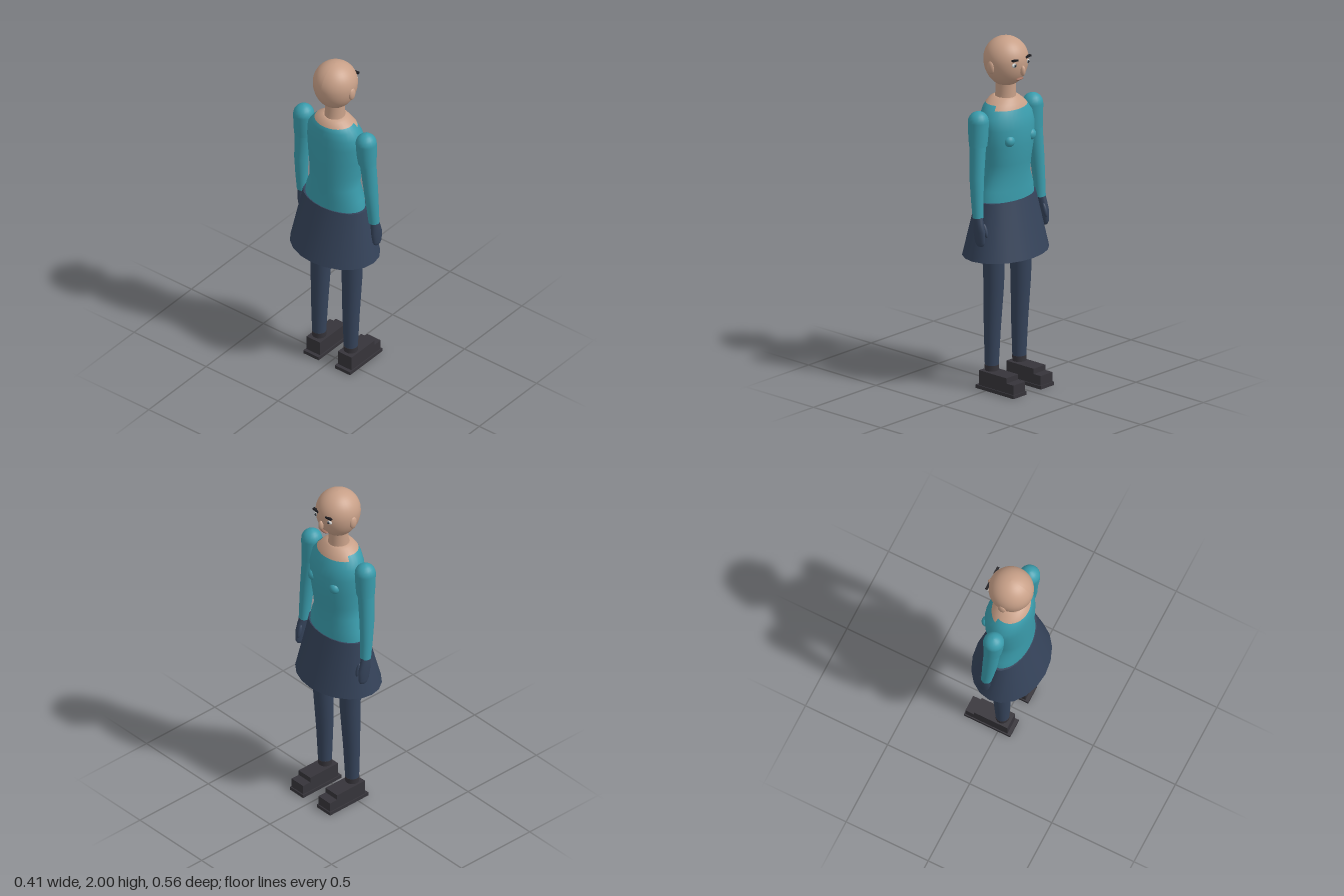
import * as THREE from 'three';

const mat = (name, color) => {
  const m = new THREE.MeshStandardMaterial({ color });
  m.name = name;
  return m;
};

// Closed loft through horizontal ellipses [y, centreX, centreZ, radiusX, radiusZ], listed bottom to top.
// pick(y, x) chooses a material index for each face.
function loft(sections, seg = 24, pick = () => 0) {
  const first = sections[0], last = sections[sections.length - 1];
  const rings = [[first[0], first[1], first[2], 0, 0], first, ...sections, last, [last[0], last[1], last[2], 0, 0]];
  const pos = [], buckets = [[], []];
  for (const [y, cx, cz, rx, rz] of rings) {
    for (let j = 0; j < seg; j++) {
      const a = (j / seg) * Math.PI * 2;
      pos.push(cx + rx * Math.cos(a), y, cz + rz * Math.sin(a));
    }
  }
  for (let i = 0; i < rings.length - 1; i++) {
    if (i === 1 || i === rings.length - 3) continue; // doubled rings keep the cap edges sharp
    for (let j = 0; j < seg; j++) {
      const k = (j + 1) % seg, a = i * seg + j, b = i * seg + k, c = a + seg, d = b + seg;
      const x = (pos[a * 3] + pos[d * 3]) / 2, y = (pos[a * 3 + 1] + pos[d * 3 + 1]) / 2;
      buckets[pick(y, x)].push(a, c, b, b, c, d);
    }
  }
  const g = new THREE.BufferGeometry();
  g.setAttribute('position', new THREE.Float32BufferAttribute(pos, 3));
  g.setIndex([...buckets[0], ...buckets[1]]);
  g.addGroup(0, buckets[0].length, 0);
  g.addGroup(buckets[0].length, buckets[1].length, 1);
  g.computeVertexNormals();
  return g;
}

export function createModel() {
  const skin = mat('skin', 0xc8a088);
  const teal = mat('teal top', 0x3a9cac);
  const navy = mat('navy cloth', 0x35435a);
  const shoe = mat('shoe charcoal', 0x36343a);
  const dark = mat('brow black', 0x1d1c20);
  const white = mat('eye white', 0xd8d8d6);
  const iris = mat('iris grey', 0x3c4a55);
  const lips = mat('lips', 0xa0705f);

  const model = new THREE.Group();
  model.name = 'standingWoman';
  const add = (name, geo, material, x = 0, y = 0, z = 0, parent = model) => {
    const m = new THREE.Mesh(geo, material);
    m.name = name;
    m.position.set(x, y, z);
    parent.add(m);
    return m;
  };
  const box = (name, material, x0, x1, y0, y1, z, depth, parent) =>
    add(name, new THREE.BoxGeometry(x1 - x0, y1 - y0, depth), material, (x0 + x1) / 2, (y0 + y1) / 2, z, parent);
  const ball = (name, material, x, y, z, rx, ry, rz, parent) => {
    const g = new THREE.SphereGeometry(1, 20, 14).scale(rx, ry, rz);
    return add(name, g, material, x, y, z, parent);
  };

  // Head: egg shape, longer below its widest line; the face looks along +x
  const headGeo = new THREE.SphereGeometry(1, 32, 24);
  const p = headGeo.attributes.position;
  for (let i = 0; i < p.count; i++) {
    const y = p.getY(i);
    p.setXYZ(i, p.getX(i) * 0.125, y * (y > 0 ? 0.125 : 0.155), p.getZ(i) * 0.122);
  }
  headGeo.computeVertexNormals();
  add('head', headGeo, skin, 0, 1.875, 0);
  ball('nose', skin, 0.125, 1.828, 0, 0.016, 0.03, 0.014);
  ball('mouth', lips, 0.102, 1.778, 0, 0.012, 0.007, 0.028);

  // Neck, and a bodice with a bare neckline that dips at the front
  add('neck', loft([[1.64, -0.006, 0, 0.062, 0.06], [1.68, -0.003, 0, 0.056, 0.055], [1.76, 0, 0, 0.055, 0.054]]), skin);
  const bodice = [
    [1.085, 0, 0.113, 0.19], [1.15, 0, 0.113, 0.18], [1.22, -0.002, 0.113, 0.152], [1.3, 0.002, 0.119, 0.155],
    [1.4, 0.007, 0.127, 0.167], [1.5, 0.007, 0.127, 0.175], [1.56, 0, 0.117, 0.168], [1.605, -0.007, 0.106, 0.138],
    [1.63, -0.01, 0.094, 0.115], [1.655, -0.01, 0.075, 0.082], [1.662, -0.008, 0.06, 0.06],
  ].map(([y, x, rx, rz]) => [y, x, 0, rx, rz]);
  const isBare = (y, x) => (y > 1.631 || (y > 1.606 && x > 0.03) ? 1 : 0);
  add('bodice', loft(bodice, 32, isBare), [teal, skin]);

  // Skirt: flared cone with 20 sides and a closed hem
  const skirt = [[0.77, -0.003, 0, 0.205, 0.27], [1.09, 0, 0, 0.118, 0.205]];
  add('skirt', loft(skirt, 20), navy);

  for (const s of [1, -1]) {
    const side = new THREE.Group();
    side.name = s > 0 ? 'rightSide' : 'leftSide';
    model.add(side);
    const tube = (name, material, sections) =>
      add(name, loft(sections.map(([y, x, z, rx, rz]) => [y, x, z * s, rx, rz]), 20), material, 0, 0, 0, side);

    // Face details
    ball('ear', skin, -0.003, 1.847, s * 0.118, 0.024, 0.037, 0.014, side);
    ball('eye', white, 0.109, 1.868, s * 0.05, 0.01, 0.013, 0.018, side);
    ball('iris', iris, 0.115, 1.868, s * 0.051, 0.007, 0.009, 0.009, side);
    ball('pupil', dark, 0.12, 1.868, s * 0.051, 0.004, 0.005, 0.005, side);
    box('eyebrow', dark, 0.108, 0.122, 1.892, 1.902, s * 0.051, 0.042, side).rotation.x = -s * 0.08;

    // Bust
    ball('bust', teal, 0.105, 1.44, s * 0.085, 0.028, 0.032, 0.032, side);

    // Sleeve: rounded shoulder over a tapering arm
    const shoulder = [[1.425, 0, 0.222, 0.049, 0.052], [1.48, -0.002, 0.219, 0.054, 0.056]];
    for (let i = 0; i <= 6; i++) {
      const a = (i / 6) * 1.5;
      shoulder.push([1.56 + 0.06 * Math.sin(a), -0.003, 0.217, 0.058 * Math.cos(a), 0.058 * Math.cos(a)]);
    }
    tube('shoulder', teal, shoulder);
    tube('sleeve', teal, [
      [1.025, 0.024, 0.249, 0.03, 0.03], [1.12, 0.016, 0.247, 0.035, 0.033],
      [1.25, 0.007, 0.241, 0.042, 0.038], [1.45, 0, 0.224, 0.046, 0.047],
    ]);

    // Mitten hand with a forward thumb
    tube('hand', navy, [
      [0.865, 0.045, 0.255, 0.014, 0.008], [0.872, 0.045, 0.255, 0.025, 0.012], [0.89, 0.044, 0.255, 0.034, 0.017],
      [0.95, 0.039, 0.255, 0.04, 0.021], [1.0, 0.031, 0.254, 0.031, 0.023], [1.035, 0.026, 0.25, 0.026, 0.023],
    ]);
    ball('thumb', navy, 0.068, 0.955, s * 0.238, 0.013, 0.04, 0.012, side).rotation.z = 0.3;

    // Leg and ankle
    tube('leg', navy, [
      [0.14, -0.003, 0.11, 0.038, 0.039], [0.35, 0, 0.109, 0.046, 0.048],
      [0.6, 0.01, 0.108, 0.056, 0.057], [0.8, 0.008, 0.107, 0.063, 0.063],
    ]);
    tube('ankle', shoe, [[0.11, -0.003, 0.11, 0.038, 0.039], [0.142, -0.003, 0.11, 0.039, 0.04]]);

    // Blocky shoe
    box('sole', shoe, -0.075, 0.206, 0, 0.02, s * 0.109, 0.106, side);
    box('shoeUpper', shoe, -0.055, 0.148, 0.02, 0.105, s * 0.109, 0.094, side);
    box('shoeToe', shoe, 0.148, 0.2, 0.02, 0.075, s * 0.109, 0.094, side);
  }
  return model;
}
